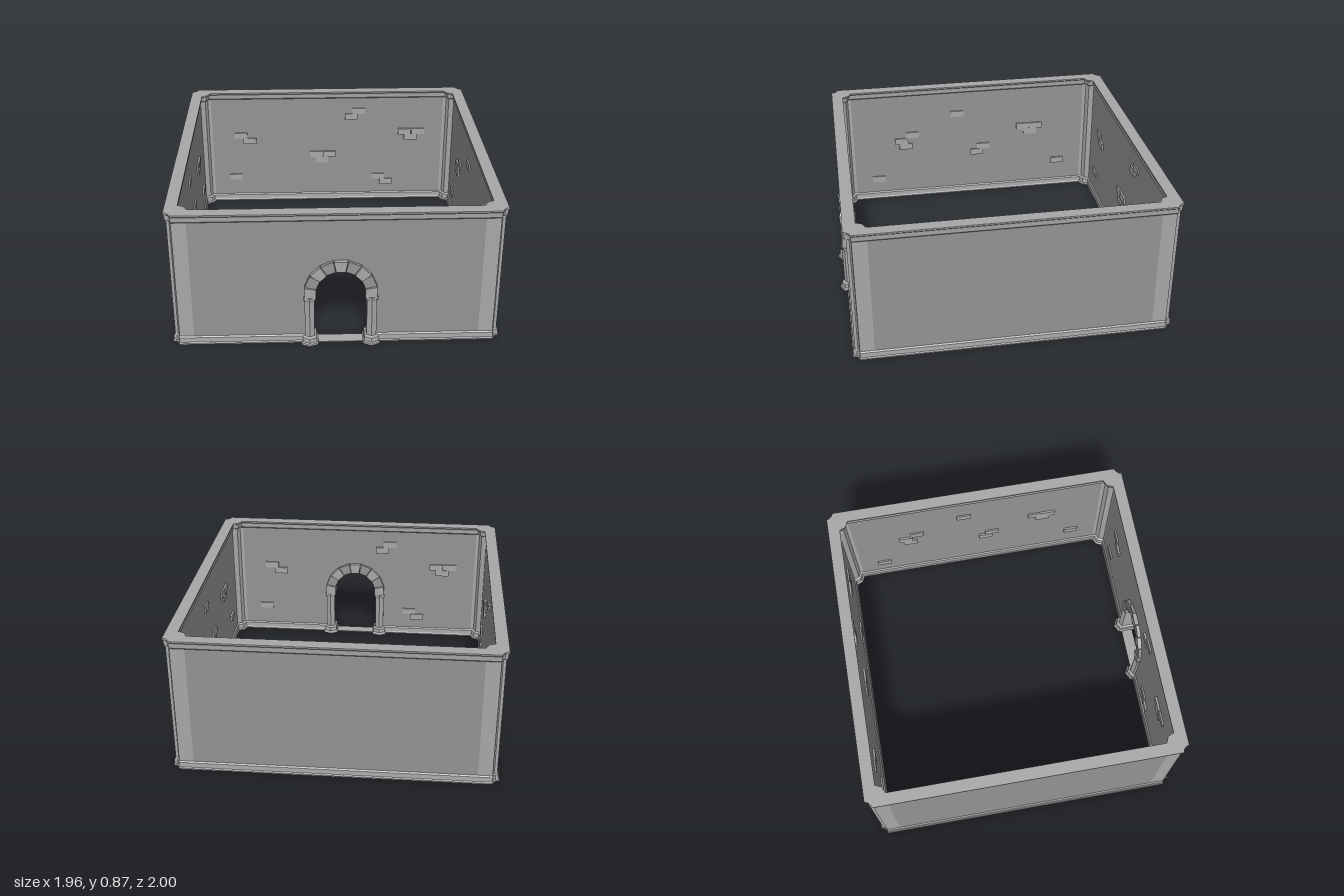
import * as THREE from 'three';

const R = 0.94;          // centre line of the walls, from the middle of the room
const JOIN = R - 0.093;  // where a straight wall meets a corner post
const HALF = 0.022;      // half thickness of the bare wall
const H = 0.868;
const DOOR = { u: -0.023, y: 0.345, inner: 0.147, outer: 0.216, post: 0.183 };

// moulding profile: [height, how far it stands out]
const LOW = [[0, 0.0155], [0.008, 0.0155], [0.014, 0.01], [0.044, 0.008], [0.052, 0]];
const HIGH = [[0.815, 0], [0.823, 0.008], [0.853, 0.01], [0.859, 0.0155], [H, 0.0155]];
const BODY = [LOW[4], HIGH[0]];

const plaster = new THREE.MeshStandardMaterial({ color: 0x939393, flatShading: true });
const stone = new THREE.MeshStandardMaterial({ color: 0xa7a7a7, flatShading: true });

function add(parent, geometry, material, name, x = 0, y = 0, z = 0) {
  const mesh = new THREE.Mesh(geometry, material);
  mesh.name = name;
  mesh.position.set(x, y, z);
  parent.add(mesh);
}

// closed solid through horizontal outlines; levels: [y, [[x, z], ...]], counter-clockwise in x,z
function loft(levels) {
  const pos = [];
  const put = (y, p) => pos.push(p[0], y, p[1]);
  for (let k = 0; k < levels.length - 1; k++) {
    const [y0, lo] = levels[k], [y1, hi] = levels[k + 1];
    lo.forEach((a, i) => {
      const j = (i + 1) % lo.length;
      put(y0, a); put(y1, hi[i]); put(y1, hi[j]);
      put(y0, a); put(y1, hi[j]); put(y0, lo[j]);
    });
  }
  const cap = ([y, pts], up) => {
    const contour = pts.map(p => new THREE.Vector2(p[0], p[1]));
    for (const f of THREE.ShapeUtils.triangulateShape(contour, [])) {
      (up ? [f[0], f[2], f[1]] : f).forEach(i => put(y, pts[i]));
    }
  };
  cap(levels[0], false);
  cap(levels[levels.length - 1], true);
  const g = new THREE.BufferGeometry();
  g.setAttribute('position', new THREE.Float32BufferAttribute(pos, 3));
  g.computeVertexNormals();
  return g;
}

// straight run from u0 to u1 with the given profile on both faces
function run(profile, u0, u1) {
  const side = profile.map(([y, p]) => new THREE.Vector2(HALF + p, y));
  const other = profile.map(([y, p]) => new THREE.Vector2(-HALF - p, y)).reverse();
  const g = new THREE.ExtrudeGeometry(new THREE.Shape([...side, ...other]), { depth: u1 - u0, bevelEnabled: false });
  return g.rotateY(Math.PI / 2).translate(u0, 0, 0);
}

// skirting, wall face and cornice of one straight stretch
function addWallRun(wall, u0, u1) {
  add(wall, run(LOW, u0, u1), stone, 'skirting');
  add(wall, run(BODY, u0, u1), plaster, 'wallFace');
  add(wall, run(HIGH, u0, u1), stone, 'cornice');
}

// corner post with a notched outer edge; each point blends from shaft to moulding outline
function cornerPost() {
  const shaft = [[0.022, -0.093], [0.022, -0.006], [0.004, -0.004], [-0.004, 0.004], [-0.006, 0.022],
    [-0.093, 0.022], [-0.093, -0.022], [-0.07, -0.022], [-0.055, -0.055], [-0.022, -0.07], [-0.022, -0.093]];
  const trim = [[0.0375, -0.093], [0.0375, -0.004], [0.018, 0.003], [0.003, 0.018], [-0.004, 0.0375],
    [-0.093, 0.0375], [-0.093, -0.0375], [-0.0925, -0.039], [-0.076, -0.076], [-0.039, -0.0925], [-0.0375, -0.093]];
  return loft([...LOW, ...HIGH].map(([y, p]) => {
    const t = p / 0.0155;
    return [y, shaft.map((s, i) => s.map((v, c) => v + (trim[i][c] - v) * t))];
  }));
}

// door column: long six-sided section that shows on both faces of the wall
function column() {
  const hex = (w, e, d) => [[w, -e], [w, e], [0, d], [-w, e], [-w, -e], [0, -d]];
  const rows = [[0, 0.051, 0.057, 0.083], [0.01, 0.049, 0.055, 0.08], [0.016, 0.043, 0.05, 0.071],
    [0.042, 0.041, 0.048, 0.068], [0.05, 0.029, 0.036, 0.052], [0.29, 0.029, 0.036, 0.052],
    [0.304, 0.036, 0.041, 0.057], [0.316, 0.036, 0.041, 0.057]];
  return loft(rows.map(([y, w, e, d]) => [y, hex(w, e, d)]));
}

// one wedge stone of the arch, centred on angle a
function archStone(a, depth) {
  const s = Math.PI / 16 - 0.011;
  const at = (r, t) => new THREE.Vector2(Math.cos(t) * r, Math.sin(t) * r);
  const { inner, outer } = DOOR;
  const shape = new THREE.Shape([at(inner, a - s), at(outer, a - s), at(outer, a + s), at(inner, a + s)]);
  return new THREE.ExtrudeGeometry(shape, { depth, bevelEnabled: false }).translate(0, 0, -depth / 2);
}

function addDoor(wall) {
  const door = new THREE.Group();
  door.name = 'doorway';
  door.position.x = DOOR.u;
  wall.add(door);
  const r = DOOR.post;
  for (const s of [-1, 1]) add(door, column(), stone, 'doorColumn', s * r);
  for (let i = -4; i <= 4; i++) {
    const even = i % 2 === 0;
    const wedge = archStone(Math.PI / 2 + i * Math.PI / 8, even ? 0.096 : 0.086);
    add(door, wedge, even ? stone : plaster, 'archStone', 0, DOOR.y);
  }
  add(door, new THREE.BoxGeometry(2 * r, 0.006, 0.075), stone, 'doorSill', 0, 0.003);

  // wall above the arch
  const top = HIGH[0][0];
  const shape = new THREE.Shape();
  shape.moveTo(-r, top);
  shape.lineTo(-r, DOOR.y);
  shape.absarc(0, DOOR.y, r, Math.PI, 0, true);
  shape.lineTo(r, top);
  const g = new THREE.ExtrudeGeometry(shape, { depth: 2 * HALF, bevelEnabled: false, curveSegments: 16 });
  add(door, g.translate(0, 0, -HALF), plaster, 'wallAboveDoor');
  add(door, run(HIGH, -r, r), stone, 'corniceAboveDoor');
}

// raised bricks on the inner faces: [along wall, height]
const BRICKS_LONG = [[-0.64, 0.53], [-0.575, 0.487], [0.23, 0.715], [0.175, 0.672], [-0.69, 0.195],
  [0.57, 0.55], [0.67, 0.55], [0.615, 0.507], [0.38, 0.185], [0.44, 0.142]];
const BRICKS_MIDDLE = [[-0.085, 0.373], [0.012, 0.375], [-0.042, 0.328]];
const BRICKS_SIDE = [[0.4, 0.515], [0.495, 0.515], [0.455, 0.472], [0.67, 0.21], [0.1, 0.375], [0.055, 0.332],
  [-0.09, 0.65], [-0.5, 0.46], [-0.42, 0.505], [-0.47, 0.417], [-0.68, 0.16]];

export function createModel() {
  const model = new THREE.Group();
  model.name = 'walledRoom';

  // the room sits back a little to leave space for the door columns
  const room = new THREE.Group();
  room.name = 'room';
  room.position.z = -0.023;
  model.add(room);

  ['backWall', 'leftToRearWall', 'frontWall', 'rightToRearWall'].forEach((_, k) => {
    const names = ['backWall', 'rightWall', 'frontWall', 'leftWall'];
    const quarter = new THREE.Group();
    quarter.name = names[k];
    quarter.rotation.y = k * Math.PI / 2;
    room.add(quarter);

    // wall frame: x along the wall, +z into the room
    const wall = new THREE.Group();
    wall.name = names[k] + 'Panel';
    wall.position.z = -R;
    quarter.add(wall);
    const isFront = k === 2;
    if (isFront) {
      addWallRun(wall, -JOIN, DOOR.u - DOOR.post);
      addWallRun(wall, DOOR.u + DOOR.post, JOIN);
      addDoor(wall);
    } else {
      addWallRun(wall, -JOIN, JOIN);
    }

    let bricks = BRICKS_SIDE;
    if (k % 2 === 0) bricks = isFront ? BRICKS_LONG : [...BRICKS_LONG, ...BRICKS_MIDDLE];
    bricks.forEach(([u, y], i) => {
      const out = 0.01 + 0.003 * (i % 2);
      add(wall, new THREE.BoxGeometry(0.094, 0.044, 2 * out), stone, 'brick', u, y, HALF);
    });

    add(quarter, cornerPost(), stone, 'cornerPost', R, 0, R);
  });
  return model;
}
